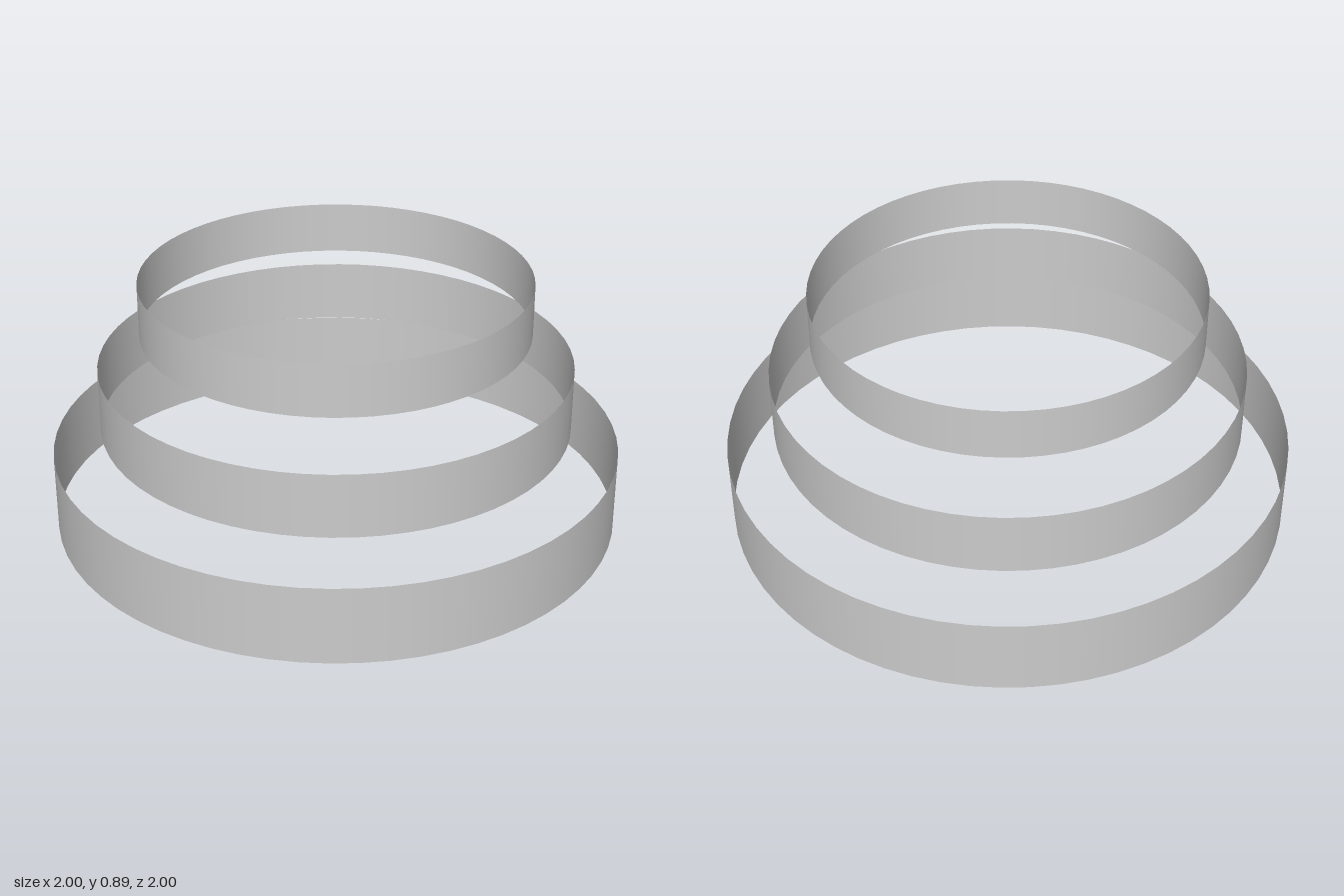
import * as THREE from 'three';

// Three thin open bands, stacked with gaps and narrowing upward
const BANDS = [
  { name: 'lowerRing', radius: 1.0, bottom: 0, top: 0.28 },
  { name: 'middleRing', radius: 0.83, bottom: 0.36, top: 0.588 },
  { name: 'upperRing', radius: 0.68, bottom: 0.708, top: 0.895 },
];

export function createModel() {
  const model = new THREE.Group();
  model.name = 'tieredRings';
  const material = new THREE.MeshStandardMaterial({ color: 0xcccccc, side: THREE.DoubleSide });

  for (const { name, radius, bottom, top } of BANDS) {
    // Open-ended wall without thickness
    const wall = new THREE.CylinderGeometry(radius, radius, top - bottom, 64, 1, true);
    const ring = new THREE.Mesh(wall, material);
    ring.name = name;
    ring.position.y = (bottom + top) / 2;
    model.add(ring);
  }
  return model;
}
